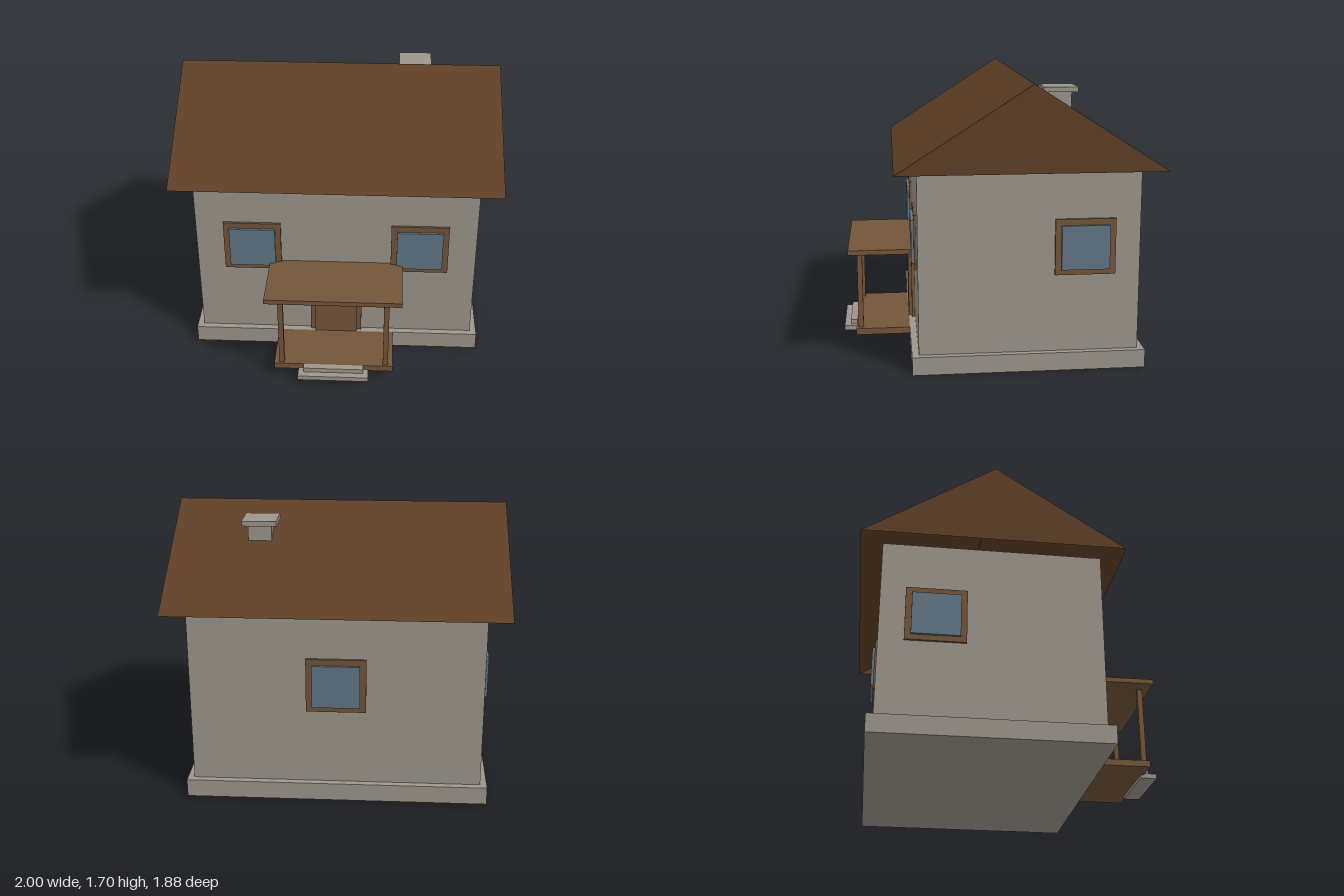
import * as THREE from 'three';

const material = (name, color, side = THREE.FrontSide) => {
  const m = new THREE.MeshStandardMaterial({ color, side });
  m.name = name;
  return m;
};

export function createModel() {
  const stone = material('grey stone', 0x9d968c);
  const wood = material('brown wood', 0x74563a);
  const glass = material('blue glass', 0x637788);
  const shingle = material('dark brown roof', 0x5f4027, THREE.DoubleSide);

  const house = new THREE.Group();
  house.name = 'house';

  // Box given by its extents on each axis
  const box = (name, mat, [x0, x1], [y0, y1], [z0, z1], parent = house) => {
    const mesh = new THREE.Mesh(new THREE.BoxGeometry(x1 - x0, y1 - y0, z1 - z0), mat);
    mesh.position.set((x0 + x1) / 2, (y0 + y1) / 2, (z0 + z1) / 2);
    mesh.name = name;
    parent.add(mesh);
    return mesh;
  };

  // Body
  box('foundation', stone, [-0.91, 0.91], [0, 0.11], [-0.85, 0.53]);
  box('walls', stone, [-0.87, 0.87], [0.11, 1.2], [-0.81, 0.49]);

  // Gable roof: two slopes and two gables, open underneath
  const ridge = (x) => [x, 1.7, -0.16];
  const front = (x) => [x, 1.2, 0.62];
  const back = (x) => [x, 1.2, -0.94];
  const triangles = [
    front(-1), front(1), ridge(1), front(-1), ridge(1), ridge(-1),
    back(1), back(-1), ridge(-1), back(1), ridge(-1), ridge(1),
    front(1), back(1), ridge(1),
    back(-1), front(-1), ridge(-1),
  ];
  const roofGeometry = new THREE.BufferGeometry();
  roofGeometry.setAttribute('position', new THREE.Float32BufferAttribute(triangles.flat(), 3));
  roofGeometry.computeVertexNormals();
  const roof = new THREE.Mesh(roofGeometry, shingle);
  roof.name = 'roof';
  house.add(roof);

  // Chimney
  box('chimneyStack', stone, [0.405, 0.545], [1.2, 1.61], [-0.45, -0.31]);
  box('chimneyCap', stone, [0.372, 0.578], [1.61, 1.64], [-0.483, -0.277]);

  // Windows: a frame with a pane standing proud, facing local +z
  const addWindow = (name, x, z, turn) => {
    const group = new THREE.Group();
    group.name = name;
    box('windowFrame', wood, [-0.178, 0.178], [0.577, 0.91], [-0.01, 0.015], group);
    box('windowPane', glass, [-0.142, 0.142], [0.61, 0.873], [-0.01, 0.031], group);
    group.position.set(x, 0, z);
    group.rotation.y = turn;
    house.add(group);
  };
  addWindow('frontLeftWindow', 0.52, 0.49, 0);
  addWindow('frontRightWindow', -0.52, 0.49, 0);
  addWindow('leftWindow', 0.87, -0.485, Math.PI / 2);
  addWindow('rightWindow', -0.87, -0.485, -Math.PI / 2);
  addWindow('backWindow', 0, -0.81, Math.PI);

  // Door
  box('doorFrame', wood, [-0.163, 0.163], [0.11, 0.6], [0.48, 0.51]);
  box('door', wood, [-0.133, 0.133], [0.11, 0.59], [0.48, 0.53]);

  // Porch
  box('porchDeck', wood, [-0.37, 0.37], [0.07, 0.11], [0.53, 0.865]);
  box('porchCanopy', wood, [-0.415, 0.415], [0.6, 0.63], [0.49, 0.905]);
  for (const side of [-1, 1]) {
    const x = side * 0.323;
    box('porchPost', wood, [x - 0.016, x + 0.016], [0.11, 0.59], [0.82, 0.852]);
  }

  // Steps
  box('upperStep', stone, [-0.185, 0.185], [0.08, 0.11], [0.865, 0.905]);
  box('lowerStep', stone, [-0.218, 0.218], [0.05, 0.08], [0.845, 0.945]);

  return house;
}
